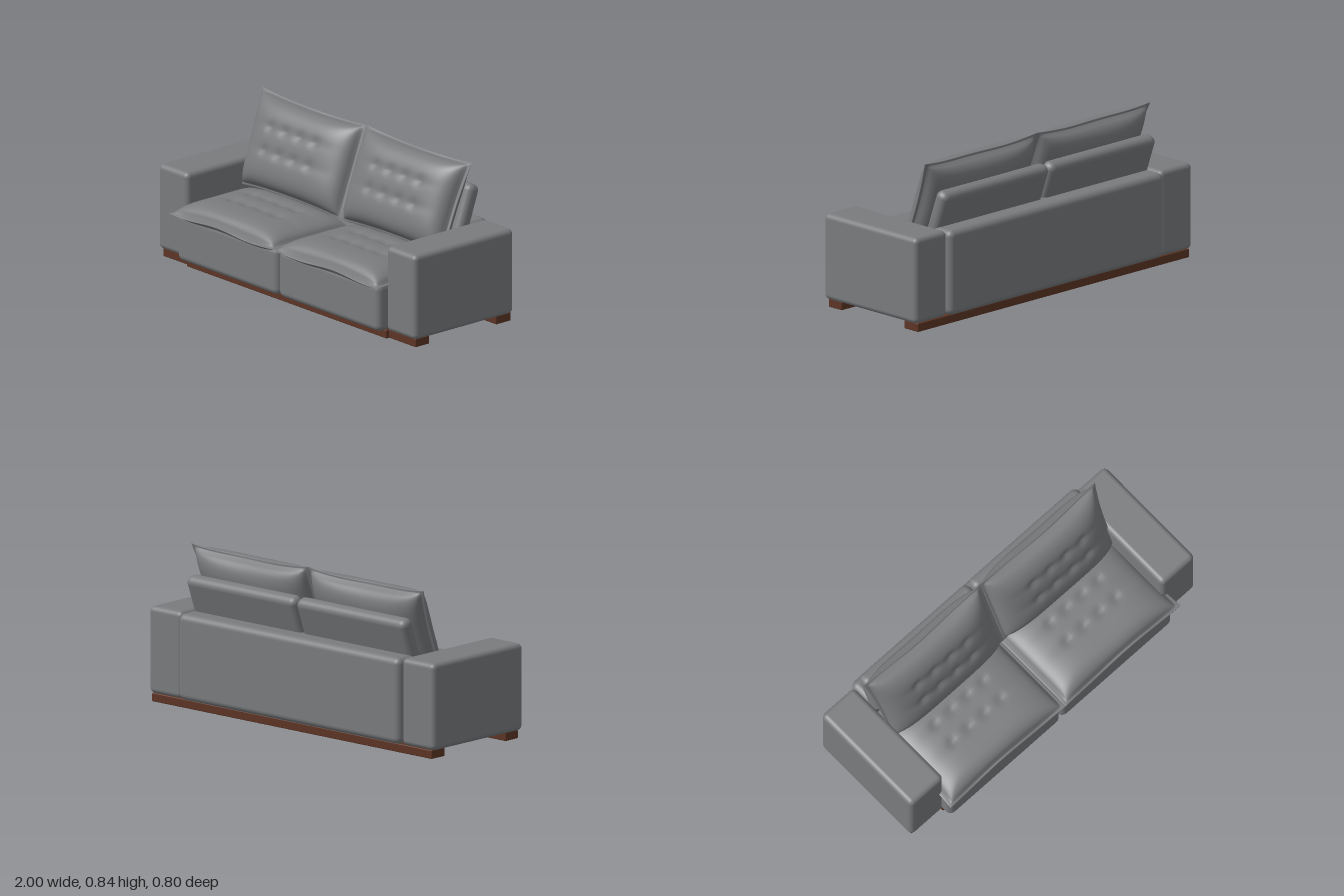
import * as THREE from 'three';
import { mergeGeometries, mergeVertices } from 'three/addons/utils/BufferGeometryUtils.js';
import { RoundedBoxGeometry } from 'three/addons/geometries/RoundedBoxGeometry.js';

const upholstery = new THREE.MeshStandardMaterial({ name: 'grey upholstery', color: 0x797b7d });
const wood = new THREE.MeshStandardMaterial({ name: 'brown wood', color: 0x5c3424 });

// Rounded block given by its minimum and maximum corners
function block(name, min, max, radius, material = upholstery) {
  const size = max.map((m, i) => m - min[i]);
  const mesh = new THREE.Mesh(new RoundedBoxGeometry(...size, 4, radius), material);
  mesh.position.set(...max.map((m, i) => (m + min[i]) / 2));
  mesh.name = name;
  return mesh;
}

// Tufted pillow in its own xy plane: puffed both ways, with a thin seam lip
function pillow(name, side, o) {
  const edge = 0.945;
  const puff = (u, p) => Math.pow(Math.max(0, 1 - Math.pow(Math.abs(u) / edge, p)), 0.5);
  const halves = [1, -1].map((face) => {
    const g = new THREE.PlaneGeometry(2, 2, 60, 48);
    if (face < 0) g.rotateY(Math.PI);
    const pos = g.attributes.position;
    for (let i = 0; i < pos.count; i++) {
      // Crowd the rows towards the edges
      const u = Math.sin(pos.getX(i) * Math.PI / 2);
      const v = Math.sin(pos.getY(i) * Math.PI / 2);
      const outer = Math.max(0, u * side);
      let x = u * o.w * (1 - o.pinch * outer * (1 - v * v) - o.taper * outer * (1 - v) / 2);
      let y = v * o.h * (1 - o.pinch * 1.5 * (1 - u * u));
      const lip = 0.011 * Math.sqrt(Math.max(0, (1 - u ** 8) * (1 - v ** 8)));
      const body = puff(u, 4) * puff(v, o.power);
      let z = lip + body * (face > 0 ? o.front : o.back);
      if (face > 0) {
        // Buttons with a soft crease along each row
        let dip = 0;
        for (const row of o.rows) {
          for (const col of [-0.42, -0.14, 0.14, 0.42]) {
            const dx = x - col * o.w, dy = y - row;
            dip += 0.011 * Math.exp(-(dx * dx + dy * dy) / 0.0006);
          }
          dip += 0.006 * Math.exp(-((y - row) ** 2) / 0.0007) * Math.exp(-((u / 0.65) ** 4));
        }
        z -= dip * Math.min(1, body * 1.5);
      }
      // Gentle wave in the seam
      const wave = o.wave * Math.sin(u * 5 * side + 1) * Math.max(Math.abs(u), Math.abs(v)) ** 6;
      pos.setXYZ(i, x, y, z * face + wave);
    }
    g.deleteAttribute('uv');
    g.deleteAttribute('normal');
    return g;
  });
  const geometry = mergeVertices(mergeGeometries(halves), 1e-5);
  geometry.computeVertexNormals();
  const mesh = new THREE.Mesh(geometry, upholstery);
  mesh.name = name;
  return mesh;
}

export function createModel() {
  const sofa = new THREE.Group();
  sofa.name = 'sofa';

  for (const side of [1, -1]) {
    const label = side > 0 ? 'left' : 'right';
    const span = (a, b) => (side > 0 ? [a, b] : [-b, -a]);

    // Arm
    const [a0, a1] = span(0.77, 1);
    sofa.add(block(label + 'Arm', [a0, 0.043, -0.375], [a1, 0.502, 0.305], 0.028));

    // Seat base
    const [b0, b1] = span(0.001, 0.785);
    sofa.add(block(label + 'SeatBase', [b0, 0.045, -0.28], [b1, 0.305, 0.368], 0.035));

    // Seat cushion, lying flat
    const seat = pillow(label + 'SeatCushion', side, {
      w: 0.405, h: 0.275, front: 0.072, back: 0.03, power: 6,
      pinch: 0.025, taper: 0, rows: [-0.035, 0.095], wave: 0.007,
    });
    seat.rotation.x = -Math.PI / 2;
    seat.position.set(side * 0.405, 0.302, 0.125);
    sofa.add(seat);

    // Back cushion, leaning backwards
    const back = pillow(label + 'BackCushion', side, {
      w: 0.407, h: 0.255, front: 0.098, back: 0.09, power: 4,
      pinch: 0.04, taper: 0.06, rows: [-0.04, 0.085], wave: 0.004,
    });
    back.rotation.x = -0.36;
    back.position.set(side * 0.407, 0.602, -0.16);
    sofa.add(back);

    // Bolster behind the back cushion
    const [r0, r1] = span(0.002, 0.768);
    const bolster = block(label + 'Bolster', [r0, 0.42, -0.316], [r1, 0.70, -0.234], 0.036);
    bolster.rotation.x = -0.34;
    sofa.add(bolster);
  }

  // Back frame
  sofa.add(block('backFrame', [-0.775, 0.045, -0.4], [0.775, 0.5, -0.24], 0.035));

  // Wooden rails
  sofa.add(block('frontRail', [-0.98, 0, 0.19], [0.98, 0.046, 0.285], 0.005, wood));
  sofa.add(block('frontRailCentre', [-0.775, 0, 0.2], [0.775, 0.046, 0.305], 0.005, wood));
  sofa.add(block('backRail', [-0.98, 0, -0.37], [0.98, 0.046, -0.268], 0.005, wood));

  return sofa;
}
